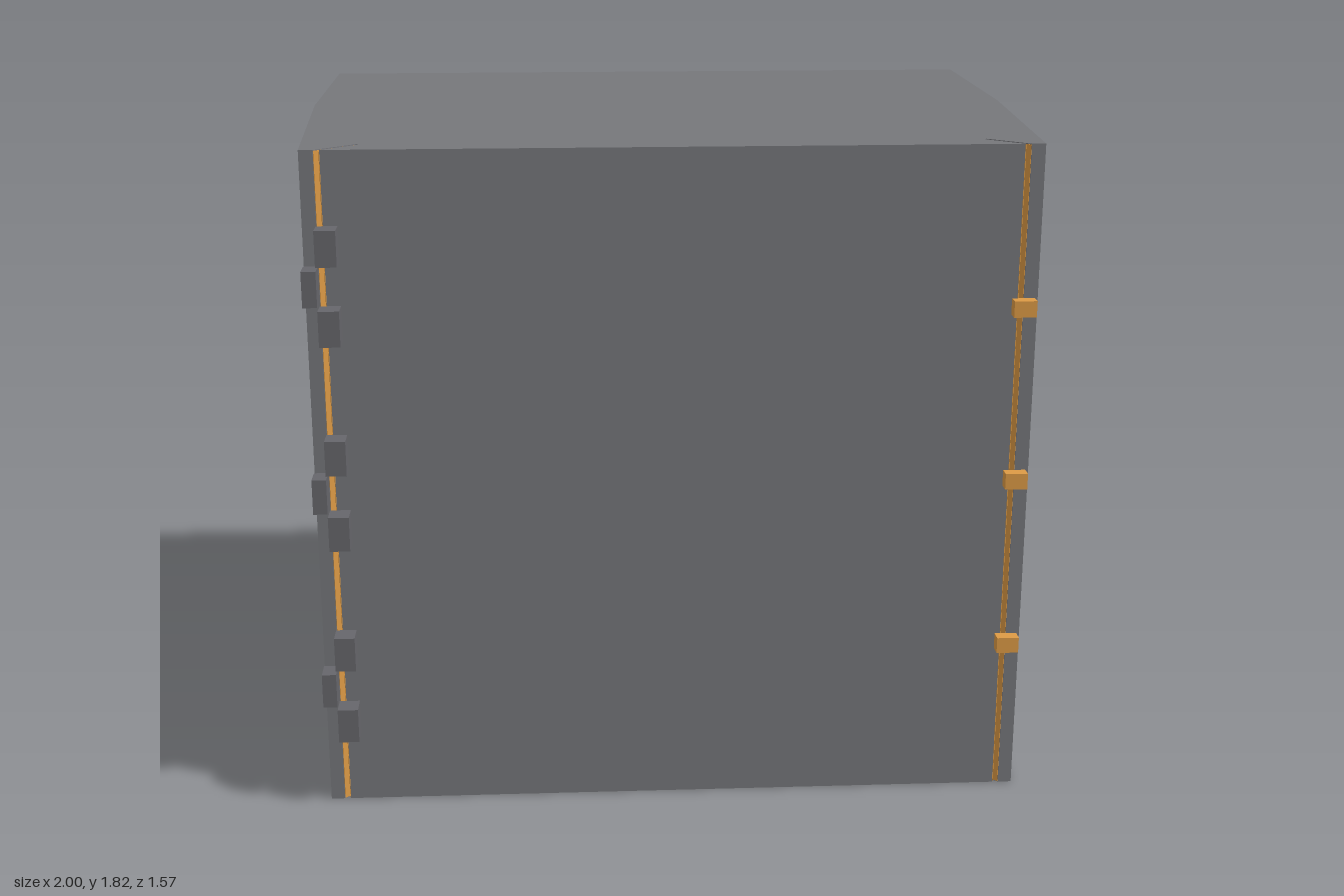
import * as THREE from 'three';

const HEIGHT = 1.815;
const FRONT = 0.725;

export function createModel() {
  const model = new THREE.Group();
  const grey = new THREE.MeshStandardMaterial({ color: 0x76777b, flatShading: true });
  const darkGrey = new THREE.MeshStandardMaterial({ color: 0x66666b, flatShading: true });
  const orange = new THREE.MeshStandardMaterial({ color: 0xdd9a45, flatShading: true });

  const add = (name, geometry, material, x = 0, y = 0, z = 0) => {
    const mesh = new THREE.Mesh(geometry, material);
    mesh.name = name;
    mesh.position.set(x, y, z);
    model.add(mesh);
    return mesh;
  };

  // Body: tapered footprint with a slanted slit either side of the door
  const half = [
    [0.902, FRONT], [0.81, 0.646], [0.818, 0.639], [0.918, FRONT],
    [0.955, FRONT], [1, -0.07], [1, -0.785],
  ];
  const outline = [...half, ...half.map(([x, z]) => [-x, z]).reverse()];
  const shape = new THREE.Shape(outline.map(([x, z]) => new THREE.Vector2(x, -z)));
  const body = new THREE.ExtrudeGeometry(shape, { depth: HEIGHT, bevelEnabled: false });
  body.rotateX(-Math.PI / 2);
  add('body', body, grey);

  // Thin coloured linings on both walls of each slit
  const lining = (side, [x1, z1], [x2, z2], shift) => {
    const length = Math.hypot(x2 - x1, z2 - z1);
    const strip = add('slitLining', new THREE.BoxGeometry(length, HEIGHT - 0.004, 0.002), orange,
      side * ((x1 + x2) / 2 + shift), HEIGHT / 2, (z1 + z2) / 2);
    strip.rotation.y = -side * Math.atan2(z2 - z1, x2 - x1);
  };
  for (const side of [-1, 1]) {
    lining(side, half[1], half[0], 0.001);
    lining(side, half[2], half[3], -0.001);
  }

  // Hinges: two door knuckles around one frame knuckle
  for (const y of [0.353, 0.908, 1.467]) {
    for (const dy of [-0.105, 0.105]) {
      add('doorKnuckle', new THREE.BoxGeometry(0.055, 0.095, 0.06), darkGrey, -0.892, y + dy, FRONT + 0.03);
    }
    add('frameKnuckle', new THREE.BoxGeometry(0.038, 0.095, 0.06), darkGrey, -0.938, y, FRONT + 0.03);
  }

  // Clasps bridging the opening edge
  for (const y of [0.433, 0.909, 1.385]) {
    add('clasp', new THREE.BoxGeometry(0.06, 0.044, 0.035), orange, 0.917, y, FRONT + 0.0175);
  }

  return model;
}
